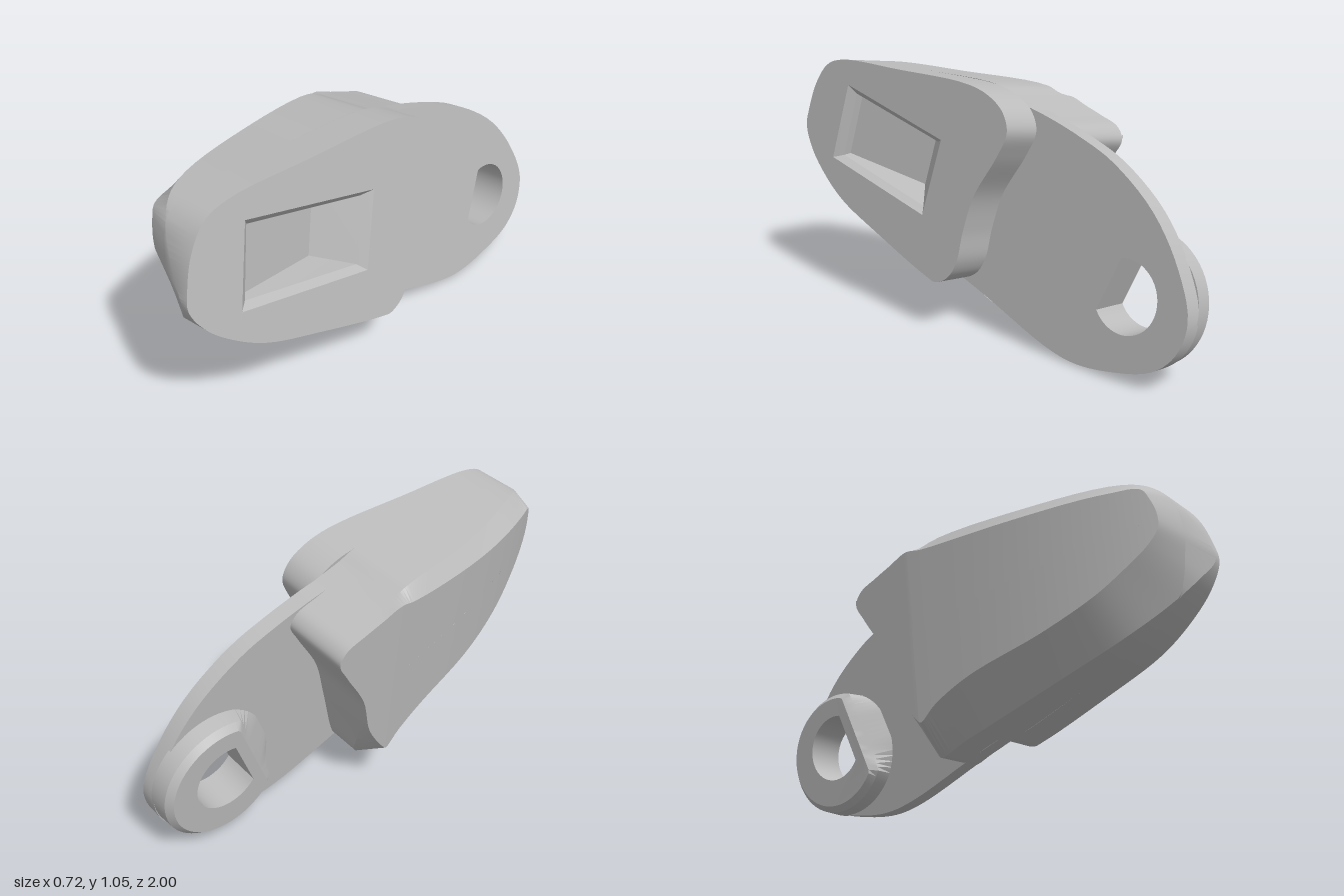
import * as THREE from 'three';
import { mergeGeometries, toCreasedNormals } from 'three/addons/utils/BufferGeometryUtils.js';

// Local space: a runs to the front, b runs up, d is depth behind the tilted outer face.
const TILT = 0.13, SLAB = 0.165, PLATE = 0.235, BOSS = 0.325;
const place = ([a, b, d]) => [0.315 - TILT * b + TILT * a - d, b - TILT * d, a + TILT * d];
const at = (loop, d) => loop.map(([a, b]) => [a, b, d]);

function build(triangles) {
  const g = new THREE.BufferGeometry();
  g.setAttribute('position', new THREE.Float32BufferAttribute(triangles.flatMap(place), 3));
  return g;
}

// Skin between successive closed rings (counter-clockwise rings face outwards)
function loft(rings) {
  const tri = [];
  for (let k = 0; k + 1 < rings.length; k++) {
    const p = rings[k], q = rings[k + 1], n = p.length;
    for (let i = 0; i < n; i++) {
      const j = (i + 1) % n;
      tri.push(p[i], p[j], q[j], p[i], q[j], q[i]);
    }
  }
  return build(tri);
}

// Flat face at one depth, with optional hole; outer = facing out of the d = 0 side
function cap(loop, d, holes = [], outer = false) {
  const vec = l => l.map(([a, b]) => new THREE.Vector2(a, b));
  const all = [...loop, ...holes.flat()];
  const tri = [];
  for (const [i, j, k] of THREE.ShapeUtils.triangulateShape(vec(loop), holes.map(vec))) {
    for (const m of outer ? [i, k, j] : [i, j, k]) tri.push([all[m][0], all[m][1], d]);
  }
  return build(tri);
}

function smooth(points, count, closed) {
  const curve = new THREE.CatmullRomCurve3(points.map(p => new THREE.Vector3(...p)), closed);
  return Array.from({ length: count }, (_, i) =>
    curve.getPoint(i / (closed ? count : count - 1)).toArray());
}

// Body rim: [a, b, panel a, panel b, depth where the chamfer starts]
const FRONT = [
  [-0.02, 1.025, -0.02, 0.98, 0.46], [0.4, 1.04, 0.4, 0.975, 0.39], [0.78, 1.043, 0.76, 0.98, 0.26],
  [0.88, 1.01, 0.87, 0.972, 0.2], [0.95, 0.92, 0.895, 0.925, 0.13], [0.99, 0.8, 0.91, 0.86, 0.06],
  [1, 0.73, 0.905, 0.805, 0.03], [0.95, 0.63, 0.86, 0.74, 0.115], [0.85, 0.53, 0.78, 0.67, 0.2],
  [0.7, 0.43, 0.66, 0.585, 0.285], [0.44, 0.33, 0.45, 0.49, 0.335], [0.13, 0.225, 0.13, 0.394, 0.37],
];
const plain = ([a, b]) => [a, b, a, b, 0.46];
const OUTER_REAR = [[0.06, 0.215], [0, 0.25], [-0.04, 0.32], [-0.06, 0.45], [-0.1, 0.6],
  [-0.2, 0.77], [-0.24, 0.87], [-0.21, 0.94], [-0.14, 0.99]].map(plain);
const INNER_REAR = [[0, 0.187, -0.02, 0.32, 0.375], [-0.115, 0.15, -0.09, 0.264, 0.375],
  [-0.132, 0.168, -0.105, 0.274, 0.375],
  ...[[-0.2, 0.42], [-0.25, 0.6], [-0.35, 0.77], [-0.39, 0.85], [-0.36, 0.9], [-0.27, 0.935],
    [-0.19, 0.962], [-0.1, 0.992]].map(plain)];

function panelDepth(a) {
  const t = Math.max(0, a + 0.1);
  return 0.515 - 0.1 * t - 0.13 * t ** 3;
}
const panelMid = a => (a < -0.1 ? 0.64 + 0.8 * (-0.1 - a) : 0.66 + 0.2 * a);

function bodyRings(rear) {
  const rim = [...FRONT, ...rear].reverse();
  const n = rim.length * 6;
  const wall = smooth(rim.map(r => [r[0], r[1], r[4]]), n, true);
  const panel = smooth(rim.map(r => [r[2], r[3], 0]), n, true)
    .map(([a, b]) => [a, b, panelDepth(a)]);
  // Rim at a depth: straight wall first, then along the chamfer to the panel
  const level = (i, d) => {
    const [a, b, s] = wall[i], [pa, pb, pd] = panel[i];
    const t = Math.max(0, (d - s) / (pd - s));
    return [a + (pa - a) * t, b + (pb - b) * t, d];
  };
  const ring = f => wall.map((w, i) => level(i, f(w[2])));
  return {
    face: at(wall, 0), start: ring(s => Math.min(s, SLAB)), split: ring(() => SLAB),
    bend: ring(s => Math.max(s, SLAB)), panel,
    mid: panel.map(([a]) => [a, panelMid(a), panelDepth(a)]),
  };
}

export function createModel() {
  const model = new THREE.Group();
  const grey = new THREE.MeshStandardMaterial({ color: 0xbcbcbc, side: THREE.DoubleSide });
  grey.name = 'plain grey';
  const add = (name, parts, crease = 0.4) => {
    const mesh = new THREE.Mesh(toCreasedNormals(mergeGeometries(parts), crease), grey);
    mesh.name = name;
    model.add(mesh);
  };

  // Outer half of the body, with the window cut in its face
  const mouth = [[0.72, 0.94], [0.11, 0.79], [0.18, 0.47], [0.79, 0.61]];
  const outer = bodyRings(OUTER_REAR);
  add('outerBody', [loft([outer.face, outer.start, outer.split]), cap(outer.face, 0, [mouth], true)]);

  // Recessed pocket: bevelled lip, walls and a floor that deepens to the rear
  const lip = [[0.695, 0.905], [0.155, 0.775], [0.21, 0.5], [0.75, 0.625]];
  const floor = [[0.69, 0.9, 0.06], [0.29, 0.8, 0.15], [0.34, 0.56, 0.15], [0.745, 0.633, 0.06]];
  const inward = (l, d) => at([...l].reverse(), d);
  add('pocket', [loft([inward(mouth, 0), inward(lip, 0.03), [...floor].reverse()]),
    build([0, 2, 1, 0, 3, 2].map(i => floor[i]))], 0.2);

  // Inner half of the body, curving in to the front with a chamfered rim
  const inner = bodyRings(INNER_REAR);
  add('innerBody', [loft([inner.split, inner.bend, inner.panel, inner.mid])], 0.35);

  // D-shaped hole through plate and boss
  const hole = Array.from({ length: 33 }, (_, i) => {
    const t = THREE.MathUtils.degToRad(76 + 250 * i / 32);
    return [-0.745 + 0.143 * Math.cos(t), 0.34 + 0.143 * Math.sin(t)];
  });

  // Thin mounting plate reaching to the rear
  const plate = [[0.03, 0.95], ...smooth([[-0.2, 0.957, 0], [-0.3, 0.932, 0], [-0.45, 0.885, 0],
    [-0.62, 0.815, 0], [-0.82, 0.67, 0], [-0.955, 0.49, 0], [-1.02, 0.32, 0], [-0.99, 0.19, 0],
    [-0.9, 0.1, 0], [-0.72, 0.045, 0], [-0.55, 0.026, 0], [-0.4, 0.05, 0], [-0.1, 0.152, 0],
    [0, 0.185, 0]], 66, false), [0.1, 0.216], [0.1, 0.26]];
  add('mountingPlate', [loft([at(plate, SLAB), at(plate, PLATE)]),
    cap(plate, SLAB, [hole], true), cap(plate, PLATE, [hole])]);

  // Round boss behind the plate, cut on a slope towards the body
  const dir = THREE.MathUtils.degToRad(21);
  const disc = (r, limit) => Array.from({ length: 64 }, (_, i) => {
    const t = i / 64 * Math.PI * 2;
    const s = Math.min(r * Math.cos(t), limit), v = r * Math.sin(t);
    return [-0.752 + s * Math.cos(dir) - v * Math.sin(dir),
      0.325 + s * Math.sin(dir) + v * Math.cos(dir)];
  });
  const top = disc(0.24, 0.14);
  add('boss', [loft([at(disc(0.27, 0.26), 0.225), at(disc(0.264, 0.17), 0.3), at(top, BOSS)]),
    cap(top, BOSS, [hole])]);
  add('holeWall', [loft([inward(hole, SLAB), inward(hole, BOSS)])]);

  return model;
}
